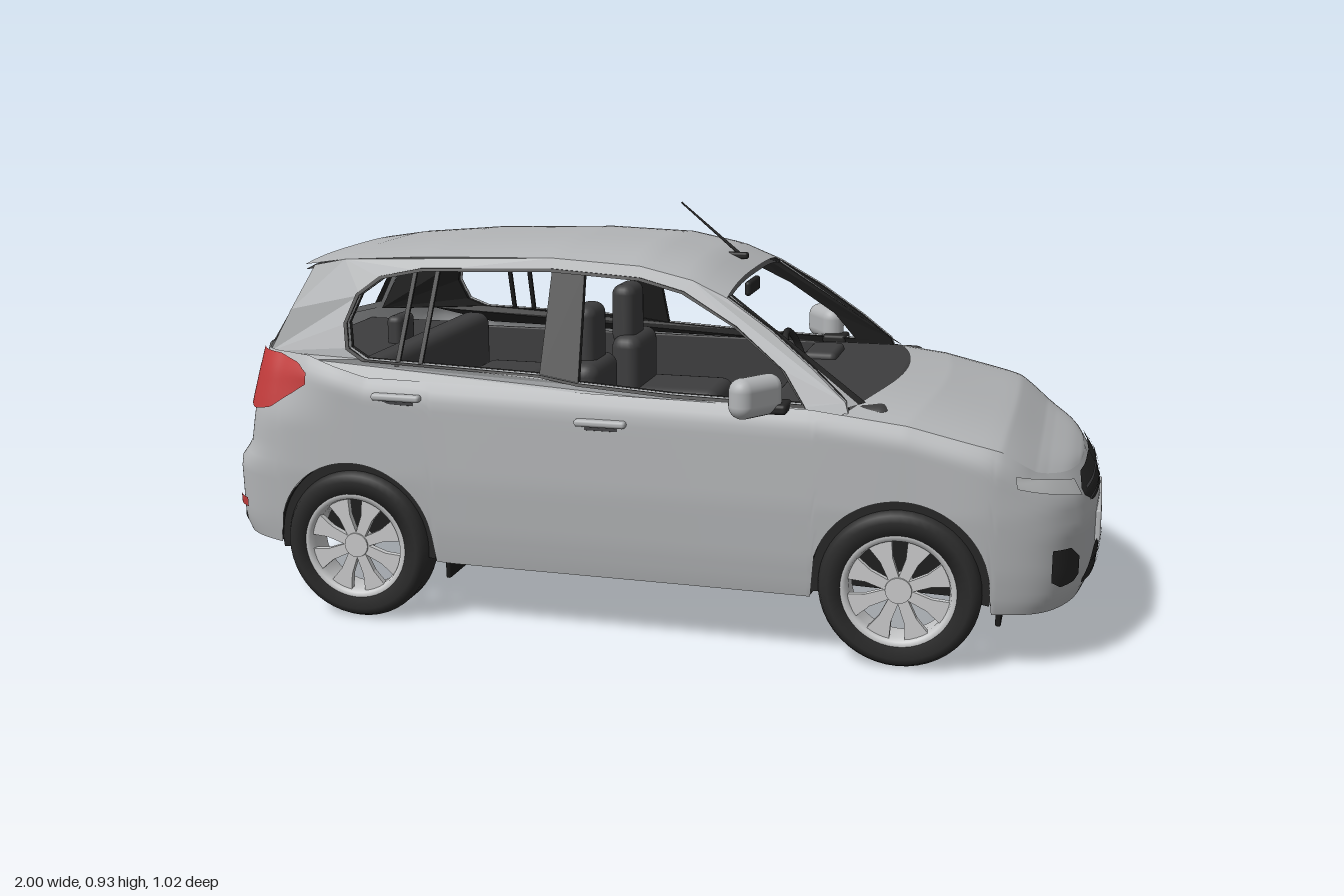
import * as THREE from 'three';
import { RoundedBoxGeometry } from 'three/addons/geometries/RoundedBoxGeometry.js';

const paint = (name, color) => new THREE.MeshStandardMaterial({ name, color, side: THREE.DoubleSide });
const { smoothstep, lerp, clamp } = THREE.MathUtils;

// piecewise linear lookup in a short table of [position, value]
function at(t, table) {
  if (t <= table[0][0]) return table[0][1];
  for (let i = 1; i < table.length; i++) {
    const [a, va] = table[i - 1], [b, vb] = table[i];
    if (t <= b) return lerp(va, vb, (t - a) / (b - a));
  }
  return table[table.length - 1][1];
}

// grid surface from a rule fn(u, v) -> [x, y, z]
function surface(nu, nv, fn) {
  const pos = [], idx = [];
  for (let i = 0; i <= nu; i++) for (let j = 0; j <= nv; j++) pos.push(...fn(i / nu, j / nv));
  for (let i = 0; i < nu; i++) for (let j = 0; j < nv; j++) {
    const a = i * (nv + 1) + j, b = a + nv + 1;
    idx.push(a, b, a + 1, b, b + 1, a + 1);
  }
  const g = new THREE.BufferGeometry();
  g.setAttribute('position', new THREE.Float32BufferAttribute(pos, 3));
  g.setIndex(idx);
  g.computeVertexNormals();
  return g;
}

// half plan outline, from rear centre round to front centre
const outline = new THREE.CatmullRomCurve3([[-0.995, 0], [-0.985, 0.2], [-0.965, 0.32], [-0.92, 0.39],
  [-0.82, 0.425], [-0.4, 0.43], [0.1, 0.43], [0.6, 0.43], [0.8, 0.42], [0.9, 0.375], [0.955, 0.29],
  [0.985, 0.16], [0.995, 0]].map(([x, z]) => new THREE.Vector3(x, 0, z)));
outline.arcLengthDivisions = 800;

const WHEELS = [-0.635, 0.595], ARCH = 0.187;
const shoulder = x => at(x, [[-0.75, 0.6], [-0.6, 0.56], [0.4, 0.545], [0.6, 0.522], [0.8, 0.477], [0.9, 0.43], [0.99, 0.4]]);
const sill = x => at(x, [[-0.98, 0.175], [-0.8, 0.16], [-0.4, 0.145], [0.4, 0.14], [0.8, 0.13], [0.98, 0.125]]);
const nearWheel = x => WHEELS.find(c => Math.abs(x - c) < ARCH);
function lowerEdge(x) {
  const c = nearWheel(x);
  return c === undefined ? sill(x) : Math.max(sill(x), 0.18 + Math.sqrt(ARCH ** 2 - (x - c) ** 2));
}
const WIDTH = [[0.1, 0.93], [0.15, 0.965], [0.22, 0.985], [0.34, 1], [0.5, 0.99], [0.6, 0.985]];
const NOSE = [[0.1, 0.03], [0.16, 0.005], [0.2, 0], [0.3, 0], [0.36, 0.015], [0.42, 0.05]];
const TAIL = [[0.15, 0.02], [0.2, 0], [0.34, 0], [0.38, 0.03], [0.57, 0.06]];

// point on the body skin above outline point p at height y, pushed out by off
function skin(p, y, off = 0) {
  const end = smoothstep(Math.abs(p.x), 0.75, 0.97);
  const round = clamp((y - shoulder(p.x) + 0.05) / 0.05, 0, 1);
  const lean = 0.09 * smoothstep(y, 0.44, 0.61) * smoothstep(-p.x, 0.65, 0.85);
  const k = at(y, WIDTH) - 0.05 * round * round - lean;
  const x = p.x + Math.sign(p.x) * end * (off - at(y, p.x > 0 ? NOSE : TAIL));
  return [x, y, p.z * k + off * Math.min(1, p.z / 0.2)];
}

// cabin side: z for a given x and y
const cabinZ = (x, y) => lerp(
  at(x, [[-0.95, 0.3], [-0.885, 0.324], [-0.82, 0.364], [-0.75, 0.393], [-0.6, 0.408], [0.2, 0.405], [0.5, 0.39]]),
  at(x, [[-0.8, 0.268], [-0.5, 0.285], [0.1, 0.285]]), (y - 0.55) / 0.27);
const RAIL = [[-0.8, 0.79], [-0.7, 0.805], [-0.5, 0.818], [-0.2, 0.825], [0, 0.815], [0.12, 0.79], [0.2, 0.757]];
const RIDGE = [[-0.8, 0.802], [-0.7, 0.818], [-0.5, 0.838], [-0.2, 0.85], [0, 0.845], [0.12, 0.82], [0.2, 0.782]];

const shapeOf = pts => new THREE.Shape(pts.map(p => new THREE.Vector2(...p)));

// plate cut in side view and bent onto the cabin side
function cabinPlate(shape, depth, inset) {
  const g = new THREE.ExtrudeGeometry(shape, { depth, bevelEnabled: false });
  const p = g.attributes.position;
  for (let i = 0; i < p.count; i++) p.setZ(i, cabinZ(p.getX(i), p.getY(i)) - inset - depth + p.getZ(i));
  g.computeVertexNormals();
  return g;
}

export function createModel() {
  const body = paint('bodyPaint', 0xb3b5b7), black = paint('blackPlastic', 0x262626),
    under = paint('underbodyBlack', 0x1a1a1a), trim = paint('interiorGrey', 0x3e3e3f),
    rubber = paint('tyreRubber', 0x2b2b2b), alloy = paint('wheelAlloy', 0xcacbcc),
    red = paint('lampRed', 0xbe3a3a), lens = paint('lampLens', 0xbcbebf), slate = paint('grilleBar', 0x454547);
  const car = new THREE.Group(), half = new THREE.Group();
  car.name = 'car';
  half.name = 'carSide';

  function add(parent, name, geometry, material, x = 0, y = 0, z = 0) {
    const m = new THREE.Mesh(geometry, material);
    m.name = name;
    m.position.set(x, y, z);
    parent.add(m);
    return m;
  }
  const box = (w, h, d, r = 0.008) => new RoundedBoxGeometry(w, h, d, 3, r);

  // lower body with wheel arches
  const N = 320, pts = outline.getSpacedPoints(N);
  add(half, 'bodySide', surface(N, 20, (u, v) => {
    const p = pts[Math.round(u * N)];
    return skin(p, lerp(lowerEdge(p.x), shoulder(p.x), v));
  }), body);

  // bonnet and floor pan span the full width
  const front = pts.filter(p => p.x >= 0.46);
  add(car, 'bonnet', surface(front.length - 1, 24, (u, v) => {
    const p = front[Math.round(u * (front.length - 1))], w = v * 2 - 1;
    const [x, y, z] = skin(p, shoulder(p.x));
    const rise = 0.024 * smoothstep(p.z, 0, 0.4) * (1 - w ** 4);
    return [x + 0.09 * (1 - w * w) * Math.max(0, 1 - (x - 0.46) / 0.5) ** 2, y + rise, z * w];
  }), body);
  add(car, 'floorPan', surface(N, 2, (u, v) => {
    const p = pts[Math.round(u * N)], [x, y, z] = skin(p, sill(p.x));
    return [x, y + 0.004, (nearWheel(p.x) === undefined ? z : Math.min(z, 0.325)) * (v * 2 - 1)];
  }), under);
  add(car, 'frontUndertray', box(0.3, 0.035, 0.42), under, 0.78, 0.118, 0);

  // roof with dark headliner
  const roof = drop => surface(40, 24, (u, v) => {
    const x = lerp(-0.8, 0.2, u), w = v * 2 - 1, rail = at(x, RAIL);
    return [x, lerp(rail, at(x, RIDGE), 1 - Math.abs(w) ** 3) - drop, cabinZ(x, rail) * w];
  });
  add(car, 'roof', roof(0), body);
  add(car, 'headliner', roof(0.012), trim);

  // cabin sides with one long window opening, its seal, door post and quarter posts
  const outer = [[-0.88, 0.59], [-0.75, 0.588], [-0.6, 0.552], [-0.2, 0.545], [0.1, 0.54], [0.3, 0.536], [0.48, 0.53],
    [0.47, 0.56], [0.4, 0.62], [0.3, 0.695], [0.2, 0.757], [0.12, 0.79], [0, 0.815], [-0.2, 0.825], [-0.5, 0.818],
    [-0.7, 0.805], [-0.775, 0.79], [-0.825, 0.69]];
  const opening = [[-0.67, 0.67], [-0.655, 0.618], [-0.61, 0.597], [-0.2, 0.585], [-0.11, 0.572], [0.1, 0.56], [0.38, 0.553],
    [0.33, 0.62], [0.22, 0.7], [0.1, 0.762], [0, 0.785], [-0.2, 0.796], [-0.5, 0.787], [-0.6, 0.767], [-0.65, 0.73]];
  const side = shapeOf(outer), seal = shapeOf(opening.map(([x, y]) => [-0.145 + (x + 0.145) * 1.016, 0.675 + (y - 0.675) * 1.06]));
  side.holes.push(shapeOf(opening));
  seal.holes.push(shapeOf(opening));
  add(half, 'cabinSide', cabinPlate(side, 0.012, 0), body);
  add(half, 'cabinLining', cabinPlate(side, 0.012, 0.013), black);
  add(half, 'windowSeal', cabinPlate(seal, 0.006, -0.003), black);
  add(half, 'doorPost', cabinPlate(shapeOf([[-0.2, 0.58], [-0.11, 0.565], [-0.125, 0.8], [-0.2, 0.8]]), 0.016, 0.004), black);
  for (const x of [-0.54, -0.486]) add(half, 'quarterPost',
    cabinPlate(shapeOf([[x, 0.585], [x + 0.01, 0.585], [x + 0.022, 0.79], [x + 0.012, 0.79]]), 0.008, 0.006), black);

  // tailgate frame with dark border round the rear opening
  const tail = (w, t) => [lerp(-0.932 + 0.052 * w * w, -0.79 + 0.015 * w * w, t), 0.6 + 0.19 * t, w * lerp(0.318, 0.274, t)];
  const strip = (w0, w1, t0, t1) => surface(16, 8, (u, v) => tail(lerp(w0, w1, u), lerp(t0, t1, v)));
  add(car, 'tailgateSill', strip(-1, 1, -0.05, 0.04), body);
  add(car, 'tailgateHeader', strip(-1, 1, 0.93, 1), body);
  add(car, 'rearOpeningHeader', strip(-0.94, 0.94, 0.83, 0.93), black);
  add(half, 'tailgatePillar', strip(0.94, 1, 0, 1), body);
  add(half, 'rearOpeningBorder', strip(0.86, 0.94, 0.04, 0.83), black);
  add(car, 'highBrakeLamp', box(0.012, 0.014, 0.12, 0.004), red, -0.805, 0.772, 0);

  // windscreen pillars with dark inner border
  const pillar = (w0, w1) => surface(4, 12, (u, v) => {
    const w = lerp(w0, w1, u);
    return [lerp(0.475, 0.2, v) + 0.2 * (1 - w) * (1 - v), lerp(0.55, 0.757, v), w * lerp(0.388, 0.306, v)];
  });
  add(half, 'windscreenPillar', pillar(0.91, 1), body);
  add(half, 'windscreenBorder', pillar(0.85, 0.91), black);

  // thin details laid over the body skin
  const patch = (name, u0, u1, lo, hi, material, off = 0.005) => add(half, name, surface(24, 8, (u, v) =>
    skin(outline.getPointAt(lerp(u0, u1, u)), lerp(at(u, lo), at(u, hi), v), off)), material);
  patch('rearLamp', 0.118, 0.224, [[0, 0.505], [0.12, 0.48], [0.35, 0.472], [0.6, 0.482], [0.88, 0.52], [1, 0.54]],
    [[0, 0.585], [0.15, 0.6], [0.6, 0.598], [0.9, 0.585], [1, 0.565]], red, 0.007);
  patch('rearReflector', 0.132, 0.158, [[0, 0.236]], [[0, 0.258]], red);
  patch('rearBumperTrim', 0, 0.125, [[0, 0.178]], [[0, 0.225], [0.8, 0.22], [1, 0.19]], black);
  patch('rearPlate', 0, 0.055, [[0, 0.42]], [[0, 0.5]], lens);
  patch('headlamp', 0.825, 0.905, [[0, 0.405], [1, 0.36]], [[0, 0.43], [1, 0.392]], lens, 0.003);
  patch('fogLampRecess', 0.85, 0.886, [[0, 0.2], [0.3, 0.185], [0.8, 0.188], [1, 0.2]], [[0, 0.27], [0.6, 0.267], [1, 0.24]], black);
  patch('upperGrille', 0.908, 1, [[0, 0.358], [0.25, 0.333], [1, 0.322]], [[0, 0.372], [0.2, 0.396], [1, 0.396]], black);
  patch('lowerGrille', 0.896, 1, [[0, 0.172], [0.3, 0.165]], [[0, 0.18], [0.35, 0.235], [1, 0.228]], black);
  for (const y of [0.342, 0.366]) patch('upperGrilleBar', 0.918, 1, [[0, y]], [[0, y + 0.006]], slate, 0.008);
  for (const y of [0.185, 0.207]) patch('lowerGrilleBar', 0.915, 1, [[0, y]], [[0, y + 0.004]], slate, 0.008);
  add(car, 'frontPlate', box(0.012, 0.07, 0.29, 0.004), body, 0.993, 0.262, 0);

  // door handles and mirrors
  for (const [x, y] of [[-0.52, 0.52], [-0.05, 0.49]]) {
    add(half, 'handleRecess', box(0.075, 0.024, 0.006, 0.002), slate, x, y - 0.002, 0.424);
    add(half, 'doorHandle', box(0.115, 0.016, 0.022, 0.007), body, x, y + 0.004, 0.43);
  }
  const mirror = add(half, 'wingMirror', box(0.058, 0.086, 0.13, 0.028), body, 0.292, 0.578, 0.45);
  mirror.rotation.y = -0.6;
  add(half, 'mirrorArm', box(0.06, 0.022, 0.07), black, 0.325, 0.548, 0.405);

  // wheels with open spokes
  const ring = profile => new THREE.LatheGeometry(profile.map(p => new THREE.Vector2(...p)), 48).rotateX(Math.PI / 2);
  const tyre = ring([[0.118, -0.044], [0.15, -0.048], [0.164, -0.042], [0.172, -0.026], [0.172, 0.026],
    [0.164, 0.042], [0.15, 0.048], [0.118, 0.044], [0.118, -0.044]]);
  const rim = ring([[0.117, -0.044], [0.108, -0.03], [0.106, 0.03], [0.111, 0.047], [0.122, 0.046]]);
  const spoke = new THREE.ExtrudeGeometry(shapeOf([[0.02, -0.011], [0.07, -0.014], [0.11, -0.027], [0.11, 0.027],
    [0.07, 0.014], [0.02, 0.011]]), { depth: 0.014, bevelEnabled: false });
  for (const x of WHEELS) {
    const wheel = new THREE.Group();
    wheel.name = 'wheel';
    wheel.position.set(x, 0.172, 0.382);
    half.add(wheel);
    add(wheel, 'tyre', tyre, rubber);
    add(wheel, 'rim', rim, alloy);
    add(wheel, 'hub', new THREE.CylinderGeometry(0.028, 0.034, 0.03, 24).rotateX(Math.PI / 2), alloy, 0, 0, 0.026);
    for (let i = 0; i < 8; i++) add(wheel, 'spoke', spoke, alloy, 0, 0, 0.024).rotation.z = (i + 0.5) * Math.PI / 4;
    add(half, 'archLiner', new THREE.CylinderGeometry(ARCH, ARCH, 0.1, 32, 1, true, Math.PI / 2, Math.PI)
      .rotateX(Math.PI / 2), black, x, 0.18, 0.367);
    add(half, 'archFiller', new THREE.RingGeometry(0.16, ARCH + 0.002, 48, 1, -0.16, Math.PI + 0.32), black, x, 0.18, 0.408);
    add(half, 'mudFlap', box(0.012, 0.05, 0.1, 0.004), under, x + 0.205, 0.122, 0.33);
  }

  // interior
  add(car, 'cabinFloor', box(1.33, 0.012, 0.74, 0.004), trim, -0.21, 0.375, 0);
  add(half, 'doorLining', box(1.2, 0.17, 0.012, 0.004), trim, -0.17, 0.455, 0.385);
  add(car, 'dashboard', box(0.27, 0.175, 0.74, 0.025), trim, 0.425, 0.46, 0);
  add(car, 'instrumentHood', box(0.08, 0.03, 0.15, 0.014), trim, 0.33, 0.548, -0.19);
  const steering = add(car, 'steeringWheel', new THREE.TorusGeometry(0.072, 0.008, 10, 36), black, 0.262, 0.53, -0.19);
  steering.rotation.set(0, Math.PI / 2, 0);
  steering.rotateX(-0.35);
  add(car, 'steeringHub', box(0.09, 0.03, 0.05), black, 0.28, 0.525, -0.19);
  add(half, 'frontSeatBase', box(0.24, 0.08, 0.2, 0.03), trim, -0.03, 0.42, 0.18);
  add(half, 'frontSeatBack', box(0.075, 0.2, 0.19, 0.03), trim, -0.145, 0.485, 0.175);
  add(half, 'frontHeadrest', box(0.06, 0.15, 0.11, 0.025), trim, -0.158, 0.632, 0.162);
  add(car, 'rearBench', box(0.2, 0.08, 0.7, 0.03), trim, -0.5, 0.42, 0);
  add(car, 'rearSeatBack', box(0.08, 0.2, 0.7, 0.03), trim, -0.63, 0.485, 0);
  add(car, 'rearHeadrest', box(0.04, 0.08, 0.09, 0.015), trim, -0.695, 0.592, 0);
  add(car, 'parcelShelf', box(0.25, 0.012, 0.58, 0.004), trim, -0.785, 0.56, 0);
  add(car, 'rearViewMirror', box(0.016, 0.034, 0.112), black, 0.19, 0.737, 0);

  // roof aerial
  const a = new THREE.Vector3(0.165, 0.805, 0), b = new THREE.Vector3(0.02, 0.925, 0);
  const aerial = add(car, 'aerial', new THREE.CylinderGeometry(0.002, 0.004, a.distanceTo(b), 8), black);
  aerial.position.copy(a).lerp(b, 0.5);
  aerial.quaternion.setFromUnitVectors(new THREE.Vector3(0, 1, 0), b.clone().sub(a).normalize());
  add(car, 'aerialBase', box(0.05, 0.016, 0.018, 0.006), black, 0.155, 0.806, 0);

  // mirror the side parts
  const other = half.clone(true);
  other.scale.z = -1;
  car.add(half, other);
  return car;
}
